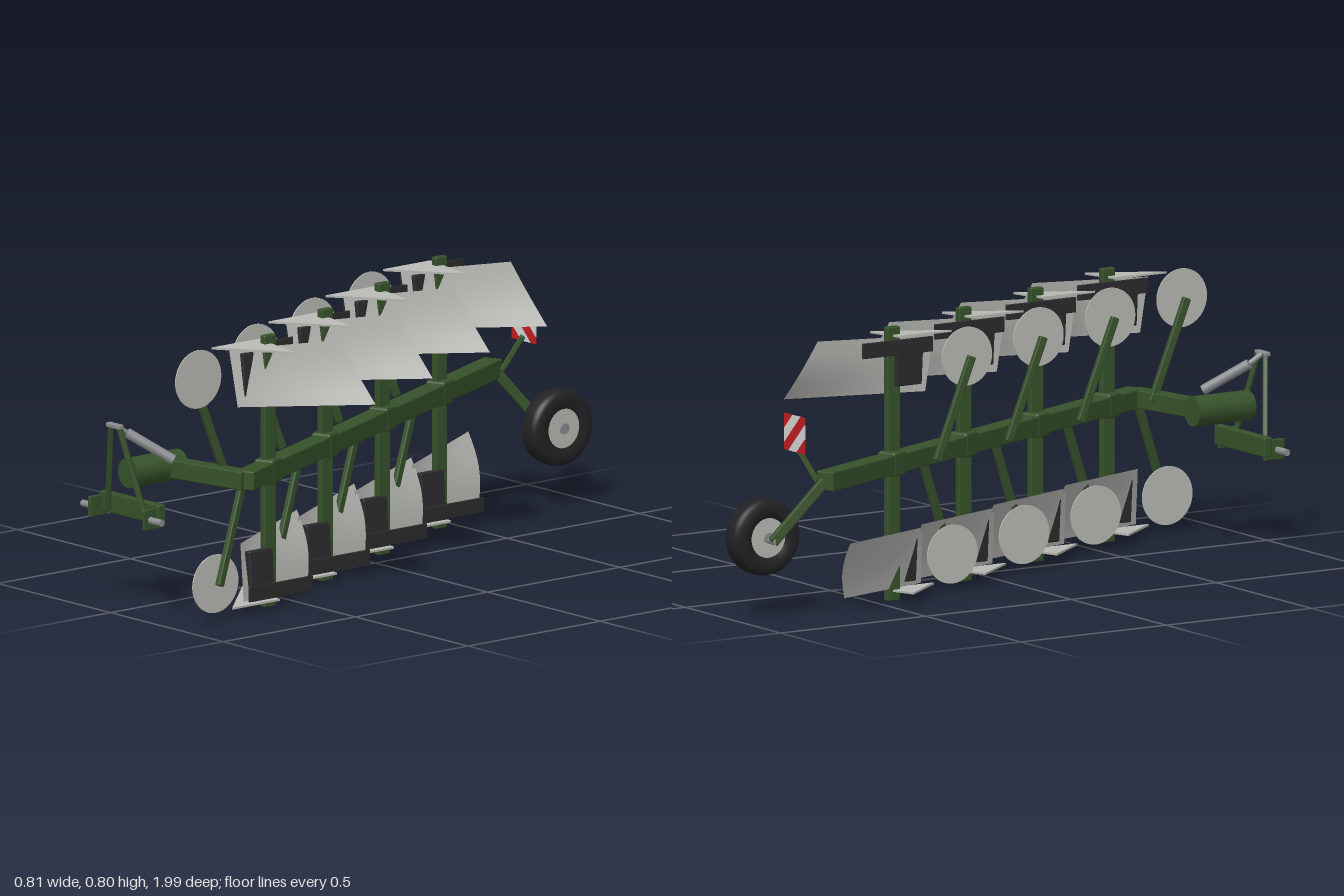
import * as THREE from 'three';
import { RoundedBoxGeometry } from 'three/addons/geometries/RoundedBoxGeometry.js';

function material(name, color, side = THREE.FrontSide) {
  const m = new THREE.MeshStandardMaterial({ color, side });
  m.name = name;
  return m;
}

export function createModel() {
  const green = material('green paint', 0x36522a);
  const steel = material('bright steel', 0xb9b9b5, THREE.DoubleSide);
  const dark = material('dark iron', 0x2b2b2d);
  const pinGrey = material('pin grey', 0x8b8c90);
  const rubber = material('tyre rubber', 0x222224);
  const red = material('warning red', 0xc01c1f);
  const white = material('warning white', 0xd4d4d2);

  const model = new THREE.Group();
  model.name = 'reversiblePlough';
  const V = (x, y, z) => new THREE.Vector3(x, y, z);
  const BEAM_Y = 0.405;

  function add(parent, name, geometry, mat, x = 0, y = 0, z = 0) {
    const mesh = new THREE.Mesh(geometry, mat);
    mesh.name = name;
    mesh.position.set(x, y, z);
    parent.add(mesh);
    return mesh;
  }
  const box = (w, h, d, r = 0.004) => new RoundedBoxGeometry(w, h, d, 2, r);

  // Rectangular bar running from a to b
  function bar(parent, name, a, b, w, h, mat = green) {
    const mesh = add(parent, name, box(w, h, a.distanceTo(b)), mat);
    mesh.position.copy(a).add(b).multiplyScalar(0.5);
    mesh.lookAt(b);
    return mesh;
  }

  // Round rod running from a to b
  function rod(parent, name, a, b, r, mat) {
    const g = new THREE.CylinderGeometry(r, r, a.distanceTo(b), 24).rotateX(Math.PI / 2);
    const mesh = add(parent, name, g, mat);
    mesh.position.copy(a).add(b).multiplyScalar(0.5);
    mesh.lookAt(b);
    return mesh;
  }

  // Mouldboard: a grid blended between its ground edge and its top edge
  function mouldboardGeometry() {
    const g = new THREE.PlaneGeometry(1, 1, 12, 10);
    const p = g.attributes.position;
    const groundFront = V(-0.032, 0.367, 0.12), groundBack = V(0.07, 0.365, -0.21);
    const topFront = V(-0.006, 0.2, 0.11), topBack = V(0.175, 0.185, -0.258);
    for (let i = 0; i < p.count; i++) {
      const u = p.getX(i) + 0.5, v = p.getY(i) + 0.5;
      const a = groundFront.clone().lerp(groundBack, u);
      const b = topFront.clone().lerp(topBack, u);
      a.lerp(b, v);
      const bow = 0.014 * Math.sin(Math.PI * v) * u;
      p.setXYZ(i, a.x - bow, a.y, a.z - bow * 0.5);
    }
    g.computeVertexNormals();
    return g;
  }

  // Share: a flat triangular blade
  function shareGeometry() {
    const s = new THREE.Shape([
      new THREE.Vector2(-0.046, 0.175),
      new THREE.Vector2(-0.046, -0.005),
      new THREE.Vector2(0.115, 0),
    ]);
    return new THREE.ExtrudeGeometry(s, { depth: 0.006, bevelEnabled: false }).rotateX(Math.PI / 2);
  }

  const mouldboard = mouldboardGeometry();
  const share = shareGeometry();
  const disc = new THREE.CylinderGeometry(0.086, 0.086, 0.004, 40).rotateZ(Math.PI / 2);

  // One plough body, measured from the beam; the working edge points up
  function ploughBody(name) {
    const body = new THREE.Group();
    body.name = name;
    add(body, 'mouldboard', mouldboard, steel);
    add(body, 'share', share, steel, 0, 0.376, 0).rotation.z = -0.07;
    add(body, 'frog', box(0.024, 0.128, 0.088), dark, -0.015, 0.29, 0.045).rotation.z = 0.07;
    add(body, 'landside', box(0.007, 0.045, 0.24, 0.002), dark, -0.044, 0.345, -0.01);
    add(body, 'coulterDisc', disc, steel, -0.038, 0.295, 0.232);
    bar(body, 'coulterArm', V(-0.041, 0, 0.128), V(-0.06, 0.298, 0.235), 0.018, 0.024);
    return body;
  }

  // Diagonal main beam
  const slope = 0.4423;
  const beamX = z => slope * (z - 0.08);
  bar(model, 'mainBeam', V(beamX(0.742), BEAM_Y, 0.742), V(beamX(-0.765), BEAM_Y, -0.765), 0.058, 0.056);

  // Four stations, each with a leg, a clamp and a pair of opposed bodies
  for (let i = 0; i < 4; i++) {
    const z = 0.6 - i * 0.3465, x = beamX(z);
    add(model, 'leg', box(0.022, 0.802, 0.044), green, x, 0.404, z);
    add(model, 'legClamp', box(0.062, 0.072, 0.062, 0.008), green, x, BEAM_Y, z)
      .rotation.y = Math.atan(slope);
    const upper = ploughBody('upperBody');
    const lower = ploughBody('lowerBody');
    lower.rotation.z = Math.PI;
    for (const b of [upper, lower]) {
      b.position.set(x, BEAM_Y, z);
      model.add(b);
    }
  }

  // Headstock with turnover shaft
  const headstock = new THREE.Group();
  headstock.name = 'headstock';
  model.add(headstock);
  rod(headstock, 'turnoverShaft', V(0, BEAM_Y, 0.742), V(0, BEAM_Y, 0.935), 0.044, green);
  bar(headstock, 'linkArm', V(0, BEAM_Y, 0.79), V(0.29, BEAM_Y, 0.735), 0.05, 0.054);
  add(headstock, 'crossBar', box(0.265, 0.058, 0.028), green, 0, 0.302, 0.918);
  for (const s of [-1, 1]) {
    add(headstock, 'lug', box(0.01, 0.062, 0.07), green, s * 0.12, 0.292, 0.945);
    rod(headstock, 'hitchPin', V(s * 0.115, 0.29, 0.955), V(s * 0.176, 0.29, 0.955), 0.01, pinGrey);
    bar(headstock, 'mastLeg', V(s * 0.085, 0.283, 0.938), V(s * 0.018, 0.553, 0.983), 0.016, 0.016);
  }
  add(headstock, 'mastPin', box(0.06, 0.014, 0.02), pinGrey, 0, 0.552, 0.984);
  rod(headstock, 'turnoverRam', V(0, 0.525, 0.938), V(0.088, 0.445, 0.838), 0.015, pinGrey);
  rod(headstock, 'ramRod', V(-0.004, 0.55, 0.978), V(0, 0.525, 0.938), 0.008, pinGrey);

  // Depth wheel on a trailing arm
  const wheel = new THREE.Group();
  wheel.name = 'depthWheel';
  wheel.position.set(-0.235, 0.235, -0.888);
  model.add(wheel);
  const profile = [
    [0.056, -0.03], [0.08, -0.037], [0.1, -0.035], [0.109, -0.027], [0.112, -0.012],
    [0.112, 0.012], [0.109, 0.027], [0.1, 0.035], [0.08, 0.037], [0.056, 0.03], [0.056, -0.03],
  ].map(([r, y]) => new THREE.Vector2(r, y));
  add(wheel, 'tyre', new THREE.LatheGeometry(profile, 40).rotateZ(Math.PI / 2), rubber);
  add(wheel, 'rim', new THREE.CylinderGeometry(0.058, 0.058, 0.062, 32).rotateZ(Math.PI / 2), steel);
  add(wheel, 'hub', new THREE.CylinderGeometry(0.016, 0.016, 0.074, 20).rotateZ(Math.PI / 2), pinGrey);
  rod(model, 'wheelAxle', V(-0.305, 0.228, -0.885), V(-0.235, 0.228, -0.885), 0.01, pinGrey);
  bar(model, 'wheelArm', V(-0.362, BEAM_Y, -0.755), V(-0.288, 0.225, -0.888), 0.03, 0.03);

  // Warning board on its post
  bar(model, 'boardPost', V(-0.34, 0.4, -0.768), V(-0.3, 0.503, -0.815), 0.016, 0.016);
  const board = new THREE.Group();
  board.name = 'warningBoard';
  board.position.set(-0.302, 0.539, -0.823);
  model.add(board);
  const H = 0.053;
  // Part of the square where lo <= x + y <= hi, in units of its half side
  function stripe(lo, hi) {
    const cut = d => d < 0 ? [[-1, d + 1], [d + 1, -1]] : [[d - 1, 1], [1, d - 1]];
    const [a, b] = cut(lo), [c, d] = cut(hi);
    const pts = [a, b];
    if (lo < 0 && hi > 0) pts.push([1, -1]);
    pts.push(d, c);
    if (lo < 0 && hi > 0) pts.push([-1, 1]);
    const s = new THREE.Shape(pts.map(([x, y]) => new THREE.Vector2(x * H, y * H)));
    return new THREE.ExtrudeGeometry(s, { depth: 0.004, bevelEnabled: false });
  }
  [-2, -1.2, -0.4, 0.4, 1.2].forEach((lo, i) =>
    add(board, 'boardStripe', stripe(lo, lo + 0.8), i % 2 ? white : red));

  return model;
}
